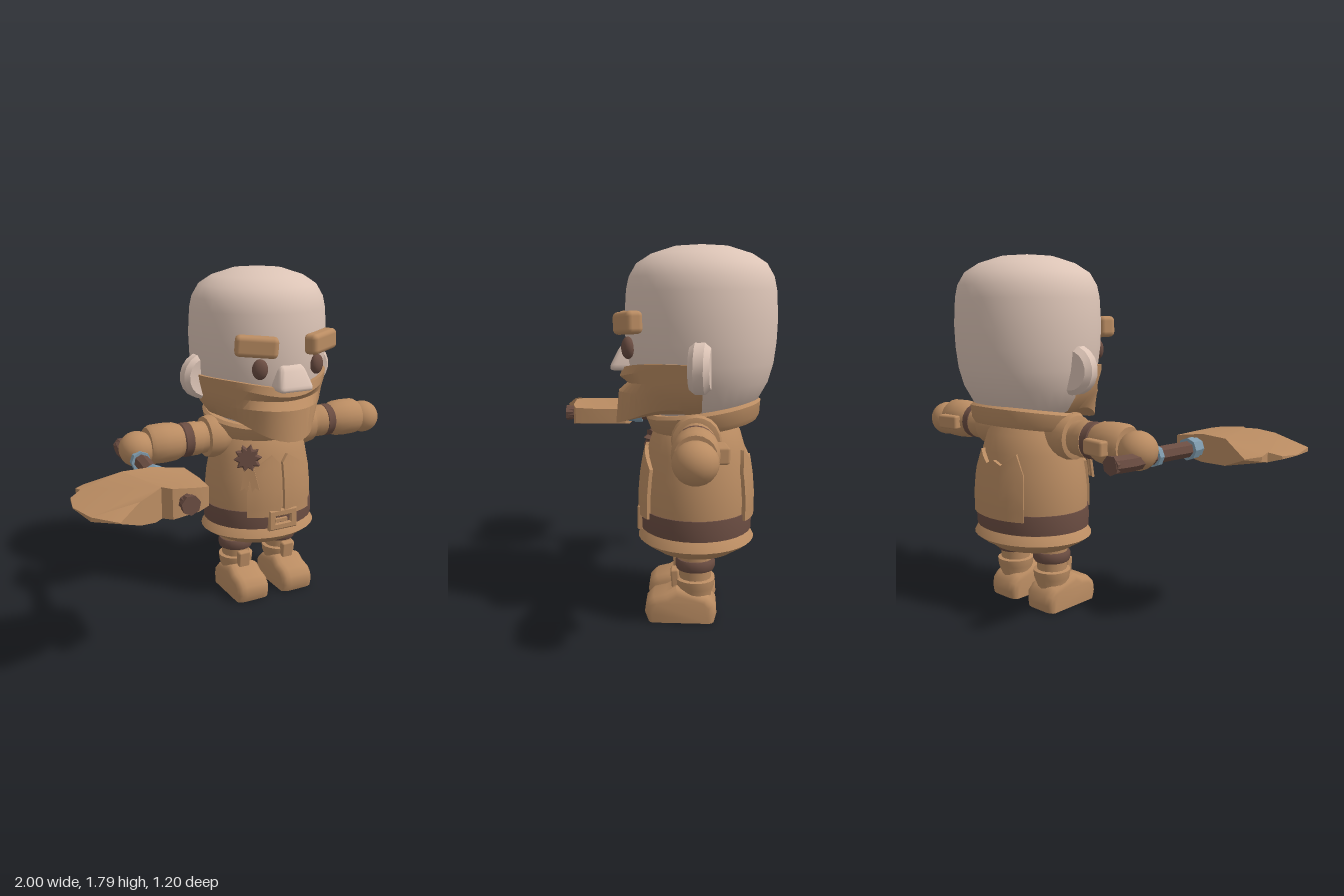
import * as THREE from 'three';
import { toCreasedNormals } from 'three/addons/utils/BufferGeometryUtils.js';
import { RoundedBoxGeometry } from 'three/addons/geometries/RoundedBoxGeometry.js';

const CX = 0.2, CZ = -0.22, PI = Math.PI;
const V2 = (a) => new THREE.Vector2(a[0], a[1]);
const flat = (name, color) => {
  const m = new THREE.MeshStandardMaterial({ color });
  m.name = name;
  return m;
};
const crease = (g, a = 0.7) => toCreasedNormals(g, a);
const lathe = (pts, seg = 28, a = 0.6) => crease(new THREE.LatheGeometry(pts.map(V2), seg), a);

// Surface from a rule p(column, row); columns run to the right, rows run up
function grid(cols, rows, p) {
  const pos = [], idx = [];
  for (let j = 0; j < rows; j++) for (let i = 0; i < cols; i++) pos.push(...p(i, j));
  for (let j = 0; j < rows - 1; j++) for (let i = 0; i < cols - 1; i++) {
    const a = j * cols + i, d = a + cols;
    idx.push(a, a + 1, d + 1, a, d + 1, d);
  }
  const g = new THREE.BufferGeometry();
  g.setAttribute('position', new THREE.Float32BufferAttribute(pos, 3));
  g.setIndex(idx);
  return crease(g, 0.5);
}

// Piecewise linear lookup in [[r, y], ...]
function radiusAt(profile, y) {
  for (let k = 1; k < profile.length; k++) {
    const [r0, y0] = profile[k - 1], [r1, y1] = profile[k];
    if (y <= y1) return r0 + (r1 - r0) * Math.max(0, (y - y0) / (y1 - y0));
  }
  return profile[profile.length - 1][0];
}

export function createModel() {
  const skin = flat('skin', 0xdcc4b6), tan = flat('tan leather', 0xba8c62);
  const dark = flat('dark leather', 0x6b4d42), steel = flat('steel', 0x7f9bad);
  const root = new THREE.Group();
  const add = (name, geo, mat, x = 0, y = 0, z = 0) => {
    const m = new THREE.Mesh(geo, mat);
    m.name = name;
    m.position.set(x, y, z);
    root.add(m);
    return m;
  };

  // Head
  add('head', lathe([[0, 0.95], [0.18, 0.97], [0.27, 1.05], [0.325, 1.15], [0.35, 1.24], [0.362, 1.34], [0.366, 1.45],
    [0.358, 1.58], [0.345, 1.64], [0.31, 1.70], [0.24, 1.745], [0.13, 1.78], [0, 1.79]], 32, 1.2), skin, CX, 0, -0.235);

  // Beard: rows of [side radius, side y, front radius, front y], bottom to top
  const beardRows = [[0.2, 1.0, 0.2, 0.99], [0.285, 1.04, 0.41, 0.94], [0.337, 1.11, 0.395, 1.1], [0.35, 1.16, 0.35, 1.14],
    [0.362, 1.22, 0.39, 1.17], [0.368, 1.255, 0.372, 1.215], [0.33, 1.255, 0.33, 1.215]];
  add('beard', grid(33, beardRows.length, (i, j) => {
    const t = (i / 32 - 0.5) * PI * 1.02, c = Math.max(0, Math.cos(t));
    const [rs, ys, rf, yf] = beardRows[j], f = c ** 5;
    const r = rs + (rf - rs) * f, y = ys + (yf - ys) * f;
    return [CX + r * Math.sin(t), y, -0.235 + r * Math.cos(t)];
  }), tan);

  // Nose, wide at the nostrils and sloping back to the bridge
  const nose = new RoundedBoxGeometry(0.21, 0.13, 0.12, 2, 0.03);
  const np = nose.attributes.position;
  for (let i = 0; i < np.count; i++) {
    const t = np.getY(i) / 0.13 + 0.5;
    np.setX(i, np.getX(i) * (1 - 0.36 * t));
    np.setZ(i, np.getZ(i) - 0.065 * t);
  }
  add('nose', crease(nose), skin, CX, 1.265, 0.145);

  for (const s of [-1, 1]) {
    const side = s > 0 ? 'left' : 'right';
    // Face
    const eye = add(side + 'Eye', new THREE.SphereGeometry(1, 16, 12), dark, CX + s * 0.165, 1.315, 0.1);
    eye.scale.set(0.04, 0.052, 0.03);
    eye.rotation.y = s * 0.4;
    const brow = add(side + 'Brow', new RoundedBoxGeometry(0.215, 0.105, 0.08, 2, 0.025), tan, CX + s * 0.185, 1.43, 0.1);
    brow.rotation.set(0, s * 0.45, s * 0.07);
    const ear = add(side + 'Ear', lathe([[0, -0.05], [0.095, -0.05], [0.12, -0.025], [0.12, 0.02], [0.1, 0.045], [0, 0.03]], 18),
      skin, CX + s * 0.325, 1.24, -0.235);
    ear.rotation.set(PI / 2, 0, s * 0.12);

    // Arm, turned around its own length
    const arm = (name, pts, mat) => {
      add(side + name, lathe(pts, 20), mat, CX, 0.91, CZ).rotation.z = -s * PI / 2;
    };
    arm('Shoulder', [[0, 0.14], [0.09, 0.15], [0.11, 0.25], [0.115, 0.29], [0.108, 0.325], [0.09, 0.33], [0, 0.33]], tan);
    arm('Sleeve', [[0, 0.3], [0.085, 0.3], [0.085, 0.36], [0.09, 0.37], [0.09, 0.415], [0, 0.415]], tan);
    arm('WristBand', [[0, 0.41], [0.08, 0.41], [0.091, 0.42], [0.091, 0.46], [0.08, 0.472], [0, 0.472]], dark);
    arm('Cuff', [[0, 0.465], [0.085, 0.465], [0.1, 0.5], [0.104, 0.56], [0.102, 0.63], [0.09, 0.65], [0, 0.65]], tan);
    arm('SleeveCore', [[0.07, 0.4], [0.07, 0.48]], tan);
    const flap = add(side + 'CuffFlap', new RoundedBoxGeometry(0.13, 0.075, 0.06, 1, 0.012), tan, CX + s * 0.545, 0.905, -0.325);
    flap.rotation.y = s * 0.15;
    const hand = add(side + 'Hand', new THREE.SphereGeometry(1, 16, 12), tan, CX + s * 0.705, 0.897, CZ);
    hand.scale.set(0.094, 0.092, 0.097);

    // Leg and boot
    const lx = CX + s * 0.14;
    add(side + 'Leg', lathe([[0, 0.1], [0.075, 0.1], [0.078, 0.25], [0.088, 0.37], [0, 0.38]], 16), tan, lx, 0, CZ);
    add(side + 'LegStrap', lathe([[0.07, 0.25], [0.09, 0.25], [0.096, 0.262], [0.096, 0.29], [0.09, 0.302], [0.07, 0.302]], 18), dark, lx, 0, CZ);
    add(side + 'BootShaft', lathe([[0, 0.07], [0.08, 0.08], [0.078, 0.12], [0.092, 0.16], [0.096, 0.2], [0.075, 0.205]], 18), tan, lx, 0, CZ);
    const tab = add(side + 'BootTab', new RoundedBoxGeometry(0.07, 0.12, 0.04, 1, 0.01), tan, lx, 0.185, -0.125);
    tab.rotation.x = 0.1;
    const outline = [[-0.315, 0], [0.005, 0], [0.022, 0.04], [0.015, 0.09], [-0.02, 0.125], [-0.08, 0.14], [-0.13, 0.17],
      [-0.28, 0.13], [-0.32, 0.09], [-0.325, 0.04]];
    const foot = new THREE.ExtrudeGeometry(new THREE.Shape(outline.map(V2)),
      { depth: 0.1, bevelSize: 0.035, bevelThickness: 0.045, bevelOffset: -0.035, bevelSegments: 3 });
    foot.translate(0, 0, -0.05).rotateY(-PI / 2);
    const fp = foot.attributes.position;
    for (let i = 0; i < fp.count; i++) if (fp.getY(i) < 0.037) fp.setY(i, 0); // flat sole
    add(side + 'Boot', crease(foot, 0.8), tan, lx);
  }

  // Tunic, skirt and belt share one oval section
  const tunic = [[0.295, 0.42], [0.302, 0.5], [0.303, 0.6], [0.293, 0.7], [0.27, 0.82], [0.24, 0.91], [0.17, 1.0]];
  const oval = (name, pts, mat) => { add(name, lathe(pts, 32), mat, CX, 0, CZ).scale.z = 0.88; };
  oval('tunic', tunic, tan);
  oval('skirt', [[0, 0.35], [0.17, 0.35], [0.18, 0.315], [0.23, 0.32], [0.275, 0.35], [0.29, 0.355], [0.325, 0.38], [0.3, 0.42], [0.28, 0.44]], tan);
  oval('belt', [[0.28, 0.43], [0.31, 0.43], [0.312, 0.48], [0.308, 0.528], [0.28, 0.53]], dark);

  // Raised tunic panels: [degrees, top y] columns laid over the tunic
  const panel = (name, cols) => {
    const all = [cols[0], ...cols, cols[cols.length - 1]], R = 7;
    add(name, grid(all.length, R + 1, (i, j) => {
      const rim = i === 0 || i === all.length - 1 || j === R;
      const t = all[i][0] * PI / 180, y = 0.5 + (all[i][1] - 0.5) * Math.min(1, j / (R - 1));
      const r = radiusAt(tunic, y) + (rim ? -0.01 : 0.022);
      return [CX + r * Math.sin(t), y, CZ + 0.88 * r * Math.cos(t)];
    }), tan);
  };
  panel('rightFrontPanel', [[-36, 0.74], [-28, 0.77], [-19, 0.8], [-9, 0.83], [-2, 0.79]]);
  panel('leftFrontPanel', [[2, 0.79], [9, 0.83], [19, 0.8], [28, 0.77], [36, 0.74]]);
  panel('backPanel', [[145, 0.73], [153, 0.83], [161, 0.8], [170, 0.77], [180, 0.79], [190, 0.77], [199, 0.8], [207, 0.83], [215, 0.73]]);

  // Collar, tilted up at the back
  const collar = add('collar', lathe([[0.2, -0.05], [0.26, -0.055], [0.28, -0.03], [0.295, 0.03], [0.28, 0.045], [0.24, 0.04], [0.2, 0]], 28), tan, CX, 0.985, -0.255);
  collar.rotation.x = 0.16;
  collar.scale.z = 0.95;

  // Buckle
  const rect = (C, w, h) => new C([[-w, -h], [w, -h], [w, h], [-w, h]].map(V2));
  const frame = rect(THREE.Shape, 0.078, 0.05);
  frame.holes.push(rect(THREE.Path, 0.052, 0.026));
  add('buckle', new THREE.ExtrudeGeometry(frame, { depth: 0.02, bevelSize: 0.007, bevelThickness: 0.006, bevelSegments: 1 }), tan, CX + 0.005, 0.477, 0.04);
  add('bucklePin', new THREE.BoxGeometry(0.075, 0.018, 0.025), tan, CX - 0.01, 0.477, 0.058);

  // Chest rosette with two ribbon tails
  const star = new THREE.Shape();
  for (let k = 0; k < 20; k++) {
    const r = k % 2 ? 0.052 : 0.075, a = k * PI / 10;
    star[k ? 'lineTo' : 'moveTo'](r * Math.cos(a), r * Math.sin(a));
  }
  const rosette = add('rosette', new THREE.ExtrudeGeometry(star, { depth: 0.025, bevelSize: 0.008, bevelThickness: 0.012, bevelOffset: -0.008, bevelSegments: 1 }), dark, 0.03, 0.825, -0.015);
  rosette.rotation.set(-0.2, -0.55, 0);
  for (const s of [-1, 1]) {
    const tail = new THREE.Shape([[-0.017, 0.07], [0.017, 0.07], [0.02, -0.055], [0, -0.035], [-0.02, -0.055]].map(V2));
    const m = add('ribbonTail', new THREE.ExtrudeGeometry(tail, { depth: 0.012, bevelEnabled: false }), tan, 0.022 + s * 0.018, 0.71, 0.02 + s * 0.01);
    m.rotation.set(-0.1, -0.55, s * 0.18);
  }

  // Axe handle
  const grip = [[-0.52, -0.42], [-0.545, -0.3], [-0.522, -0.14], [-0.53, -0.02], [-0.545, 0.1], [-0.545, 0.3], [-0.545, 0.545]];
  const path = new THREE.CatmullRomCurve3(grip.map(([x, z]) => new THREE.Vector3(x, 0.862, z)));
  add('axeHandle', crease(new THREE.TubeGeometry(path, 18, 0.04, 7), 0.5), dark);
  for (const [x, z, turn] of [[-0.52, -0.42, PI], [-0.545, 0.545, 0]]) {
    const cap = new THREE.CylinderGeometry(0.046, 0.04, 0.04, 7).rotateX(PI / 2);
    add('handleEnd', crease(cap, 0.4), dark, x, 0.862, z - Math.cos(turn) * 0.015).rotation.y = turn;
  }
  for (const [x, z, r, h] of [[-0.523, -0.125, 0.052, 0.03], [-0.545, 0.125, 0.055, 0.045], [-0.545, 0.165, 0.048, 0.04]])
    add('handleRing', crease(new THREE.CylinderGeometry(r, r, h, 8).rotateX(PI / 2), 0.4), steel, x, 0.862, z);

  // Axe blade: outline [x, z] given a thickness that thins to the cutting edge
  const blade = [[-0.42, 0.19], [-0.415, 0.35], [-0.43, 0.48], [-0.485, 0.5], [-0.61, 0.5], [-0.645, 0.46], [-0.69, 0.5], [-0.77, 0.535],
    [-0.877, 0.595], [-0.97, 0.5], [-1, 0.34], [-0.98, 0.235], [-0.925, 0.2], [-0.93, 0.14], [-0.877, 0.08], [-0.72, 0.165], [-0.58, 0.18]];
  const thick = [[0.002, -1], [0.018, -0.94], [0.042, -0.87], [0.06, -0.77], [0.072, -0.65], [0.068, -0.55], [0.042, -0.415]];
  const bg = new THREE.ExtrudeGeometry(new THREE.Shape(blade.map(V2)), { depth: 2, bevelEnabled: false });
  bg.translate(0, 0, -1).rotateX(PI / 2);
  const bp = bg.attributes.position;
  for (let i = 0; i < bp.count; i++) {
    const z = bp.getZ(i), tip = Math.max(0, z - 0.52, 0.16 - z) * 0.5;
    bp.setY(i, 0.862 + Math.sign(bp.getY(i)) * Math.max(0.002, radiusAt(thick, bp.getX(i)) - tip));
  }
  add('axeBlade', crease(bg, 0.4), tan);

  return root;
}
